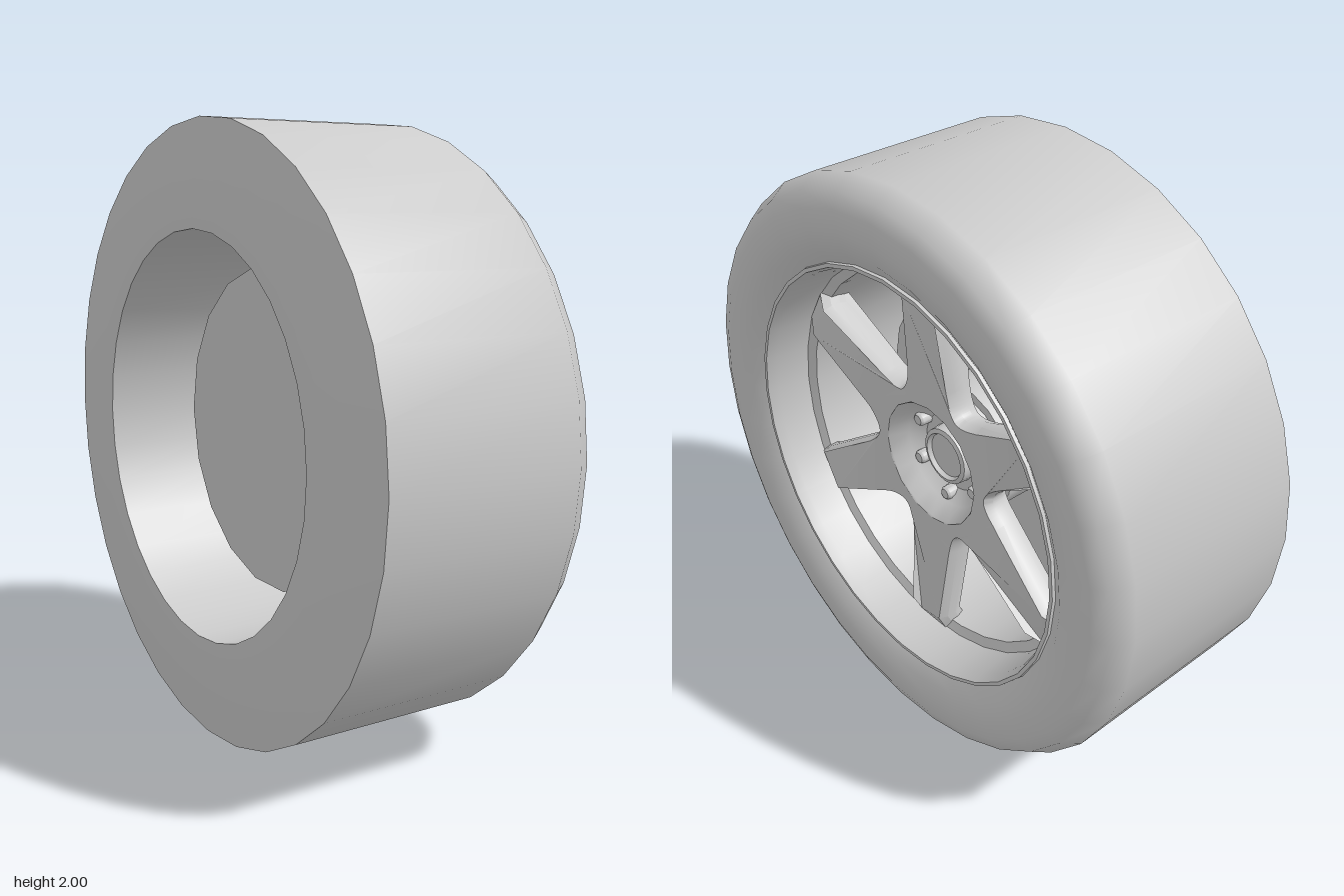
import * as THREE from 'three';
import { toCreasedNormals } from 'three/addons/utils/BufferGeometryUtils.js';

const grey = new THREE.MeshStandardMaterial({ color: 0xcccccc });

function addMesh(parent, name, geometry, crease = 0.7) {
  const mesh = new THREE.Mesh(toCreasedNormals(geometry, crease), grey);
  mesh.name = name;
  parent.add(mesh);
  return mesh;
}

// Turned part: [radius, x] pairs revolved around the axle (x axis)
function turned(profile, segments) {
  const points = profile.map(([r, x]) => new THREE.Vector2(r, x));
  return new THREE.LatheGeometry(points, segments).rotateZ(-Math.PI / 2);
}

// Six-spoke star outline with filleted valleys and a hole for the hub dish
function spokeShape(count) {
  const shape = new THREE.Shape();
  const at = (i, x, y) => {
    const a = (-i * 2 * Math.PI) / count;
    return [x * Math.cos(a) - y * Math.sin(a), x * Math.sin(a) + y * Math.cos(a)];
  };
  shape.moveTo(...at(0, -0.1325, 0.2295));
  for (let i = 0; i < count; i++) {
    shape.quadraticCurveTo(...at(i, -0.105, 0.245), ...at(i, -0.094, 0.32));
    for (const [x, y] of [[-0.071, 0.62], [-0.066, 0.685], [0.066, 0.685], [0.071, 0.62], [0.094, 0.32]]) {
      shape.lineTo(...at(i, x, y));
    }
    shape.quadraticCurveTo(...at(i, 0.105, 0.245), ...at(i, 0.1325, 0.2295));
  }
  const hole = new THREE.Path();
  hole.absarc(0, 0, 0.22, 0, Math.PI * 2, true);
  shape.holes.push(hole);
  return shape;
}

// Spokes lean outward from the hub, then turn back in at the rim
function spokeFront(r) {
  if (r < 0.62) return 0.205 + 0.035 * THREE.MathUtils.clamp((r - 0.32) / 0.3, 0, 1);
  return 0.24 - 0.035 * ((r - 0.62) / 0.07);
}

export function createModel() {
  const wheel = new THREE.Group();
  wheel.name = 'wheel';
  wheel.position.y = 1;

  // Tyre: flat back wall, straight tread, rounded front shoulder
  addMesh(wheel, 'tyre', turned([
    [0.66, -0.39], [0.75, -0.39], [1, -0.36], [1, 0.305], [0.96, 0.368],
    [0.91, 0.388], [0.84, 0.39], [0.78, 0.378], [0.73, 0.345],
  ], 32));

  // Rim: front lip, stepped seat for the spokes, then the barrel
  addMesh(wheel, 'rim', turned([
    [0.735, 0.33], [0.73, 0.357], [0.717, 0.357], [0.705, 0.32],
    [0.692, 0.2], [0.66, 0.185], [0.652, 0], [0.66, -0.39],
  ], 32));

  // Spokes, with drafted sides
  const spokes = new THREE.ExtrudeGeometry(spokeShape(6), {
    depth: 0.035, curveSegments: 8,
    bevelEnabled: true, bevelSegments: 1, bevelSize: 0.012, bevelThickness: 0.03,
  });
  spokes.translate(0, 0, -0.065);
  const pos = spokes.attributes.position;
  for (let i = 0; i < pos.count; i++) {
    pos.setZ(i, pos.getZ(i) + spokeFront(Math.hypot(pos.getX(i), pos.getY(i))));
  }
  addMesh(wheel, 'spokes', spokes.rotateY(Math.PI / 2), 0.4);

  // Deep conical hub dish and centre cap
  addMesh(wheel, 'hubDish', turned([
    [0.222, 0.204], [0.215, 0.2], [0.185, 0.14], [0.14, 0.1], [0, 0.1],
  ], 32));
  addMesh(wheel, 'centreCap', turned([
    [0.104, 0.09], [0.1, 0.14], [0.085, 0.145], [0.078, 0.13], [0, 0.13],
  ], 24));

  // Lug nuts
  for (let i = 0; i < 6; i++) {
    const a = Math.PI / 2 + (i * Math.PI) / 3;
    const nut = addMesh(wheel, 'lugNut', turned([[0.026, 0.08], [0.024, 0.135], [0.018, 0.143], [0, 0.143]], 10));
    nut.position.set(0, 0.155 * Math.sin(a), 0.155 * Math.cos(a));
  }

  // Hub carrier and brake disc behind the spokes
  addMesh(wheel, 'hubCarrier', turned([
    [0.23, -0.1], [0.23, 0.05], [0.2, 0.05], [0.2, 0.09], [0, 0.09],
  ], 18));
  addMesh(wheel, 'brakeDisc', turned([[0, -0.12], [0.54, -0.12], [0.54, -0.08], [0, -0.08]], 18));

  return wheel;
}
